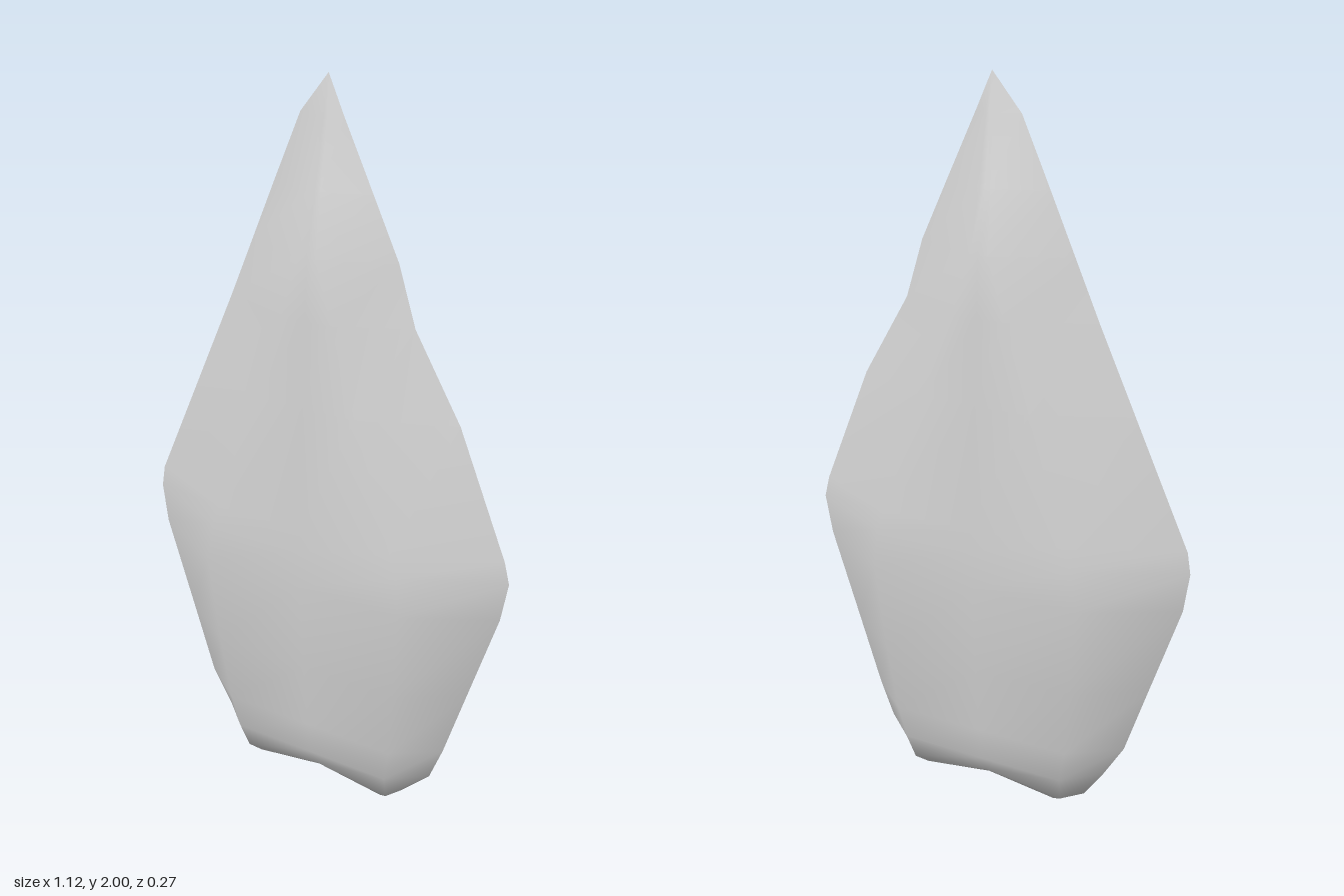
import * as THREE from 'three';
import { toCreasedNormals } from 'three/addons/utils/BufferGeometryUtils.js';

// Cross-sections from base to tip:
// [height, left edge x, left ridge x, right ridge x, right edge x, half thickness]
const SECTIONS = [
  [0.0, -0.22, -0.2, 0.21, 0.24, 0.035],
  [0.02, -0.28, -0.23, 0.24, 0.265, 0.055],
  [0.1, -0.335, -0.24, 0.25, 0.35, 0.085],
  [0.2, -0.395, -0.26, 0.27, 0.39, 0.097],
  [0.4, -0.46, -0.28, 0.29, 0.455, 0.117],
  [0.66, -0.545, -0.3, 0.31, 0.54, 0.136],
  [0.77, -0.56, -0.28, 0.3, 0.56, 0.132],
  [0.83, -0.55, -0.26, 0.28, 0.545, 0.13],
  [1.17, -0.395, -0.15, 0.16, 0.405, 0.111],
  [1.4, -0.29, -0.07, 0.08, 0.27, 0.098],
  [1.56, -0.22, -0.02, 0.03, 0.22, 0.089],
  [1.72, -0.15, -0.01, 0.02, 0.145, 0.052],
  [1.9, -0.07, 0.0, 0.02, 0.06, 0.019],
];

// Eight points around one section: sharp edges left and right, broad faces front and back
function ring([y, xl, rl, rr, xr, t], row) {
  const mid = (rl + rr) / 2;
  const notch = row < 2 ? 0.028 : 0; // the base is hollowed in the middle
  return [
    [xl, y, 0], [rl, y, t], [mid, y + notch, t], [rr, y, t],
    [xr, y, 0.005], [rr, y, -t], [mid, y + notch, -t], [rl, y, -t],
  ];
}

function bladeGeometry() {
  const positions = [];
  const index = [];
  const N = 8;
  SECTIONS.forEach((s, i) => ring(s, i).forEach((p) => positions.push(...p)));

  // Sides
  for (let i = 0; i < SECTIONS.length - 1; i++) {
    for (let j = 0; j < N; j++) {
      const a = i * N + j, b = i * N + ((j + 1) % N);
      index.push(a, b, b + N, a, b + N, a + N);
    }
  }

  // Pointed tip and hollow base
  const tip = positions.length / 3;
  positions.push(0.012, 2, 0);
  positions.push(0.01, 0.03, 0);
  const top = (SECTIONS.length - 1) * N;
  for (let j = 0; j < N; j++) {
    const k = (j + 1) % N;
    index.push(top + j, top + k, tip);
    index.push(k, j, tip + 1);
  }

  const geometry = new THREE.BufferGeometry();
  geometry.setAttribute('position', new THREE.Float32BufferAttribute(positions, 3));
  geometry.setIndex(index);
  // Soft ridges, sharp cutting edges
  return toCreasedNormals(geometry, 1.15);
}

export function createModel() {
  const group = new THREE.Group();
  group.name = 'stonePoint';
  const stone = new THREE.MeshStandardMaterial({ color: 0xd0d0d0 });
  stone.name = 'pale grey stone';
  const blade = new THREE.Mesh(bladeGeometry(), stone);
  blade.name = 'blade';
  group.add(blade);
  return group;
}
